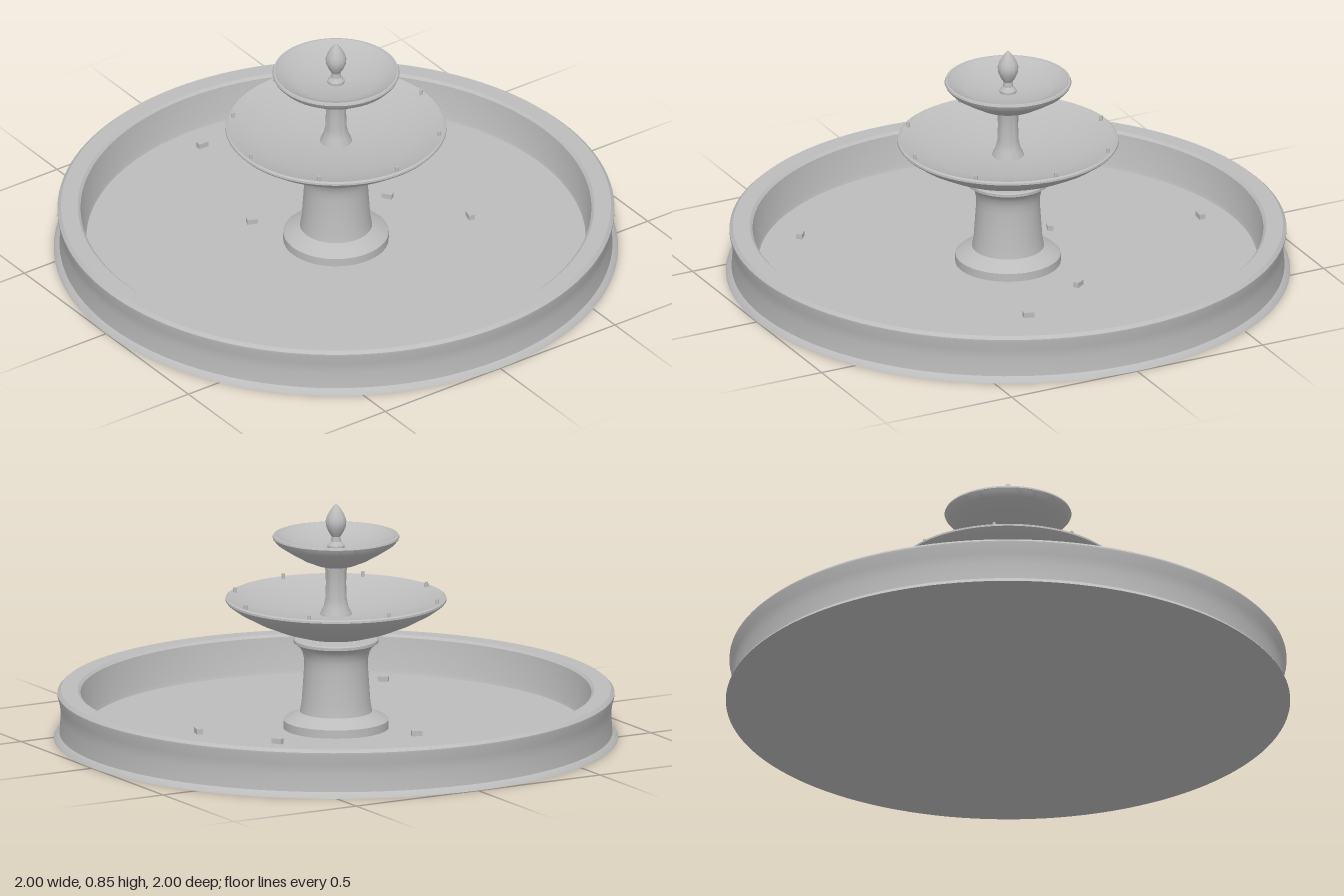
import * as THREE from 'three';
import { toCreasedNormals } from 'three/addons/utils/BufferGeometryUtils.js';

export function createModel() {
  const model = new THREE.Group();
  model.name = 'fountain';
  const stone = new THREE.MeshStandardMaterial({ color: 0xbcbcbc });
  stone.name = 'grey stone';

  // Turned part: profile of [radius, height] from the bottom axis, outward and up
  function turned(name, profile, segments = 96) {
    const points = profile.map(([r, y]) => new THREE.Vector2(r, y));
    const geometry = toCreasedNormals(new THREE.LatheGeometry(points, segments), 0.45);
    const mesh = new THREE.Mesh(geometry, stone);
    mesh.name = name;
    model.add(mesh);
    return mesh;
  }

  // Wide pool with a sloped inner wall, a flared rim and a foot
  turned('basin', [
    [0, 0], [1, 0], [0.995, 0.008], [0.98, 0.02], [0.975, 0.08], [0.978, 0.12],
    [0.987, 0.155], [0.987, 0.163], [0.975, 0.174], [0.915, 0.174], [0.905, 0.165],
    [0.89, 0.05], [0.885, 0.036], [0, 0.036],
  ], 128);

  // Pedestal with a stepped foot and a flared capital
  turned('pedestal', [
    [0, 0.03], [0.187, 0.03], [0.187, 0.066], [0.178, 0.074], [0.128, 0.096],
    [0.122, 0.13], [0.117, 0.2], [0.113, 0.26], [0.114, 0.29], [0.12, 0.315],
    [0.132, 0.333], [0.15, 0.346], [0.15, 0.356], [0.146, 0.36], [0, 0.36],
  ], 64);

  // Large shallow bowl
  turned('lowerBowl', [
    [0, 0.36], [0.07, 0.364], [0.13, 0.374], [0.2, 0.395], [0.28, 0.428],
    [0.35, 0.466], [0.385, 0.491], [0.392, 0.499], [0.391, 0.506], [0.384, 0.51],
    [0.376, 0.506], [0.28, 0.479], [0.16, 0.458], [0.06, 0.447], [0, 0.446],
  ]);

  // Slim stem between the bowls
  turned('stem', [
    [0, 0.44], [0.058, 0.44], [0.054, 0.456], [0.044, 0.475], [0.038, 0.505],
    [0.036, 0.56], [0.037, 0.6], [0.042, 0.63], [0, 0.63],
  ], 48);

  // Small upper bowl
  turned('upperBowl', [
    [0, 0.617], [0.035, 0.62], [0.07, 0.628], [0.115, 0.647], [0.165, 0.676],
    [0.205, 0.702], [0.222, 0.72], [0.225, 0.727], [0.222, 0.734], [0.215, 0.735],
    [0.209, 0.729], [0.15, 0.707], [0.07, 0.691], [0, 0.687],
  ]);

  // Bud-shaped finial
  turned('finial', [
    [0, 0.68], [0.03, 0.68], [0.03, 0.698], [0.018, 0.712], [0.016, 0.73],
    [0.026, 0.745], [0.035, 0.767], [0.037, 0.785], [0.032, 0.803],
    [0.02, 0.825], [0.009, 0.84], [0, 0.85],
  ], 32);

  // Eight little spouts around the lower rim
  const spoutGeometry = new THREE.CylinderGeometry(0.006, 0.007, 0.022, 10);
  for (let i = 0; i < 8; i++) {
    const angle = (i * Math.PI) / 4;
    const spout = new THREE.Mesh(spoutGeometry, stone);
    spout.name = 'spout';
    spout.position.set(0.371 * Math.cos(angle), 0.511, 0.371 * Math.sin(angle));
    model.add(spout);
  }

  // Loose chips lying on the pool floor: x, z, turn
  const chipGeometry = new THREE.BoxGeometry(0.038, 0.02, 0.022);
  const chips = [
    [0.16, -0.47, -0.25], [-0.78, 0.025, 1.5], [0.56, 0.52, 0.85],
    [-0.26, 0.18, 1.2], [-0.12, -0.31, 0.6],
  ];
  for (const [x, z, turn] of chips) {
    const chip = new THREE.Mesh(chipGeometry, stone);
    chip.name = 'stoneChip';
    chip.position.set(x, 0.045, z);
    chip.rotation.y = turn;
    model.add(chip);
  }

  return model;
}
